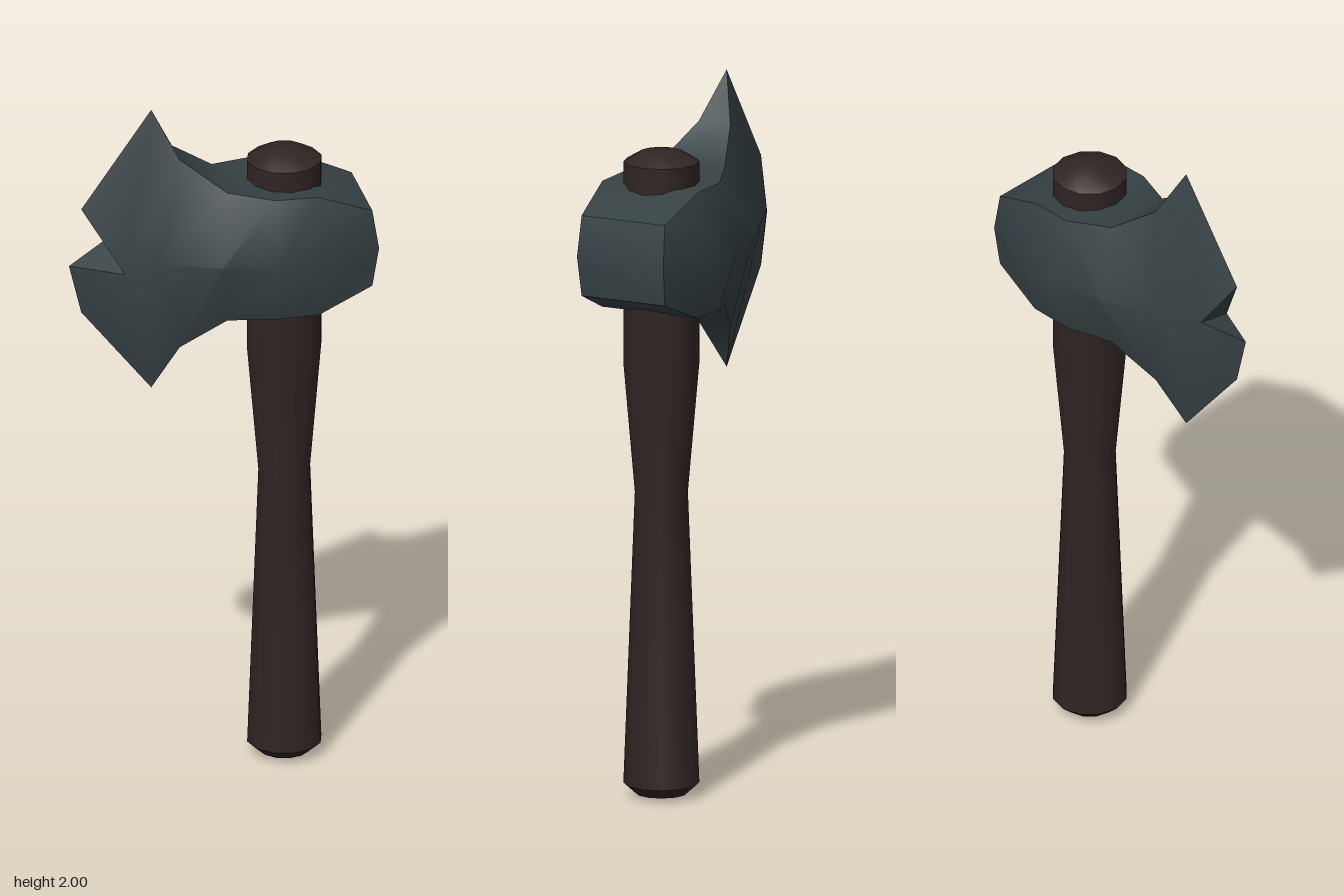
import * as THREE from 'three';
import { toCreasedNormals } from 'three/addons/utils/BufferGeometryUtils.js';

const MID = 1.575; // height of the head's centre line

// Stations from poll to blade: top edge x, y, half depth; then ridge x, half depth
const STATIONS = [
  [0.407, 1.69, 0.132, 0.425, 0.137],
  [0.25, 1.755, 0.152, 0.25, 0.21],
  [0.125, 1.757, 0.152, 0.125, 0.21],
  [0, 1.77, 0.1, -0.03, 0.177],
  [-0.125, 1.862, 0.05, -0.2, 0.108],
];

function headGeometry() {
  const pos = [];
  const tri = (a, b, c) => pos.push(...a, ...b, ...c);
  const quad = (a, b, c, d) => { tri(a, b, c); tri(a, c, d); };
  const mirrorY = ([x, y, z]) => [x, 2 * MID - y, z];

  const tip = [-0.195, 2, 0], corner = [-0.395, 1.715, 0], lip = [-0.43, 1.545, 0];
  const lowTip = mirrorY(tip), lowCorner = [-0.395, 1.4, 0];
  const notch = { 1: [-0.285, 1.535, 0.07], '-1': [-0.315, 1.585, -0.062] };

  const rows = (s) => {
    const top = STATIONS.map(([x, y, z]) => [x, y, s * z]);
    const mid = STATIONS.map(([, , , x, z]) => [x, MID, s * z]);
    return { top, mid, low: top.map(mirrorY) };
  };
  const F = rows(1), B = rows(-1);

  // Cheeks: two bands that flare into the blade around the notch
  for (const [s, r] of [[1, F], [-1, B]]) {
    const face = (a, b, c) => (s > 0 ? tri(a, b, c) : tri(a, c, b));
    const n = notch[s];
    const top = [...r.top, tip], mid = [...r.mid, n], low = [...r.low, lowTip];
    for (let i = 0; i < STATIONS.length; i++) {
      face(top[i], top[i + 1], mid[i + 1]);
      face(top[i], mid[i + 1], mid[i]);
      face(mid[i], mid[i + 1], low[i + 1]);
      face(mid[i], low[i + 1], low[i]);
    }
    face(tip, corner, n);
    face(n, lip, lowCorner);
    face(n, lowCorner, lowTip);
  }

  // Upper and lower edges, narrowing to the blade tips
  const last = STATIONS.length - 1;
  for (let i = 0; i < last; i++) {
    quad(F.top[i], B.top[i], B.top[i + 1], F.top[i + 1]);
    quad(F.low[i], F.low[i + 1], B.low[i + 1], B.low[i]);
  }
  tri(F.top[last], B.top[last], tip);
  tri(F.low[last], lowTip, B.low[last]);

  // Poll face
  quad(F.top[0], F.mid[0], B.mid[0], B.top[0]);
  quad(F.mid[0], F.low[0], B.low[0], B.mid[0]);

  // Chipped notch in the cutting edge
  tri(corner, notch[-1], notch[1]);
  tri(lip, notch[1], notch[-1]);

  const g = new THREE.BufferGeometry();
  g.setAttribute('position', new THREE.Float32BufferAttribute(pos, 3));
  return toCreasedNormals(g, THREE.MathUtils.degToRad(45));
}

function handleGeometry() {
  const profile = [
    [0, 0], [0.072, 0.008], [0.106, 0.038], [0.074, 0.87],
    [0.106, 1.24], [0.106, 1.815], [0.06, 1.842], [0, 1.85],
  ].map(([r, y]) => new THREE.Vector2(r, y));
  return toCreasedNormals(new THREE.LatheGeometry(profile, 12), THREE.MathUtils.degToRad(40));
}

export function createModel() {
  const group = new THREE.Group();
  group.name = 'axe';
  const add = (name, geometry, color) => {
    const mesh = new THREE.Mesh(geometry, new THREE.MeshStandardMaterial({ color }));
    mesh.name = name;
    group.add(mesh);
    return mesh;
  };
  add('axeHead', headGeometry(), 0x364144);
  add('handle', handleGeometry(), 0x2f2523).position.x = 0.185;
  return group;
}
